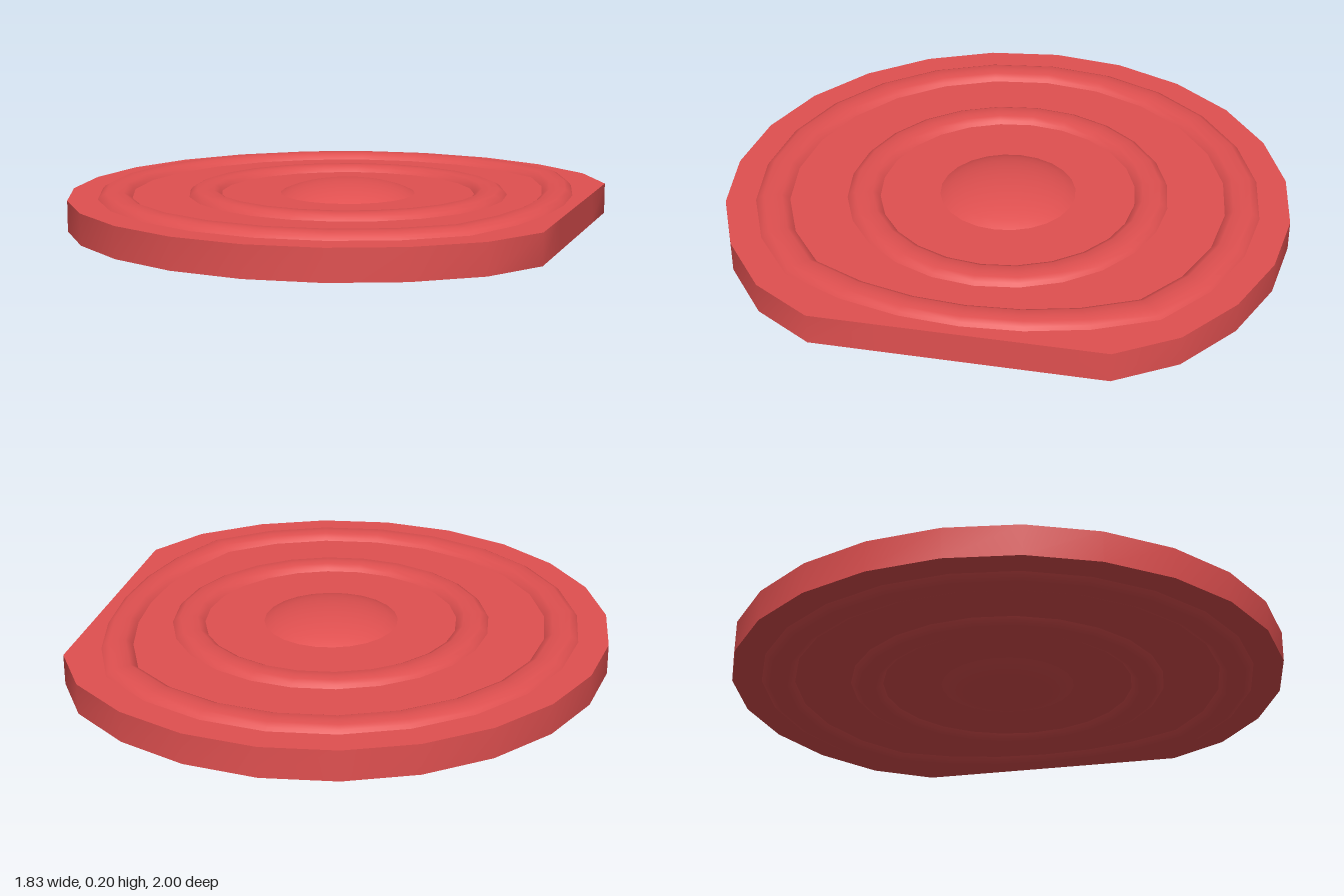
import * as THREE from 'three';
import { toCreasedNormals } from 'three/addons/utils/BufferGeometryUtils.js';

const SIDES = 24;
const PLATE_HALF = 0.055; // half thickness of the plate
const MID_Y = 0.102;      // height of the plate's middle plane
const CENTRE_X = 0.083;   // centre of the round part
const CUT_X = 0.834;      // straight edge, measured from that centre

const material = new THREE.MeshStandardMaterial({ color: 0xe05050 });

function part(name, geometry) {
  const mesh = new THREE.Mesh(geometry, material);
  mesh.name = name;
  return mesh;
}

// Round plate whose +x side is pushed in to a straight edge
function plateGeometry() {
  const geo = new THREE.CylinderGeometry(1, 1, PLATE_HALF * 2, SIDES);
  const pos = geo.attributes.position;
  for (let i = 0; i < pos.count; i++) pos.setX(i, Math.min(pos.getX(i), CUT_X));
  return toCreasedNormals(geo, 0.6);
}

// Raised bead; squash pulls it inward next to the straight edge
function ridgeGeometry(radius, halfWidth, squash = 0) {
  const profile = [
    [1, 0.048], [0.78, 0.066], [0.48, 0.076], [0, 0.077],
    [-0.48, 0.076], [-0.78, 0.066], [-1, 0.048],
  ].map(([u, y]) => new THREE.Vector2(radius + u * halfWidth, y));
  const geo = new THREE.LatheGeometry(profile, SIDES);
  const pos = geo.attributes.position;
  for (let i = 0; i < pos.count; i++) {
    const x = pos.getX(i), z = pos.getZ(i);
    const toEdge = Math.max(0, (x / Math.hypot(x, z) - 0.7) / 0.3);
    const k = 1 - squash * toEdge;
    pos.setX(i, x * k);
    pos.setZ(i, z * k);
  }
  return geo;
}

// Shallow central dome
function domeGeometry() {
  const geo = new THREE.SphereGeometry(1, SIDES, 8, 0, Math.PI * 2, 0, Math.PI / 2);
  return geo.scale(0.287, 0.102, 0.287);
}

// Relief carried by each face of the plate
function relief(name) {
  const group = new THREE.Group();
  group.name = name;
  group.add(
    part('outerRidge', ridgeGeometry(0.833, 0.066, 0.115)),
    part('innerRidge', ridgeGeometry(0.512, 0.064)),
    part('centreDome', domeGeometry()),
  );
  return group;
}

export function createModel() {
  const model = new THREE.Group();
  model.name = 'disc';
  const top = relief('topRelief');
  const bottom = relief('bottomRelief');
  bottom.rotation.x = Math.PI;

  const body = new THREE.Group();
  body.name = 'body';
  body.add(part('plate', plateGeometry()), top, bottom);
  body.position.set(CENTRE_X, MID_Y, 0);
  model.add(body);
  return model;
}
